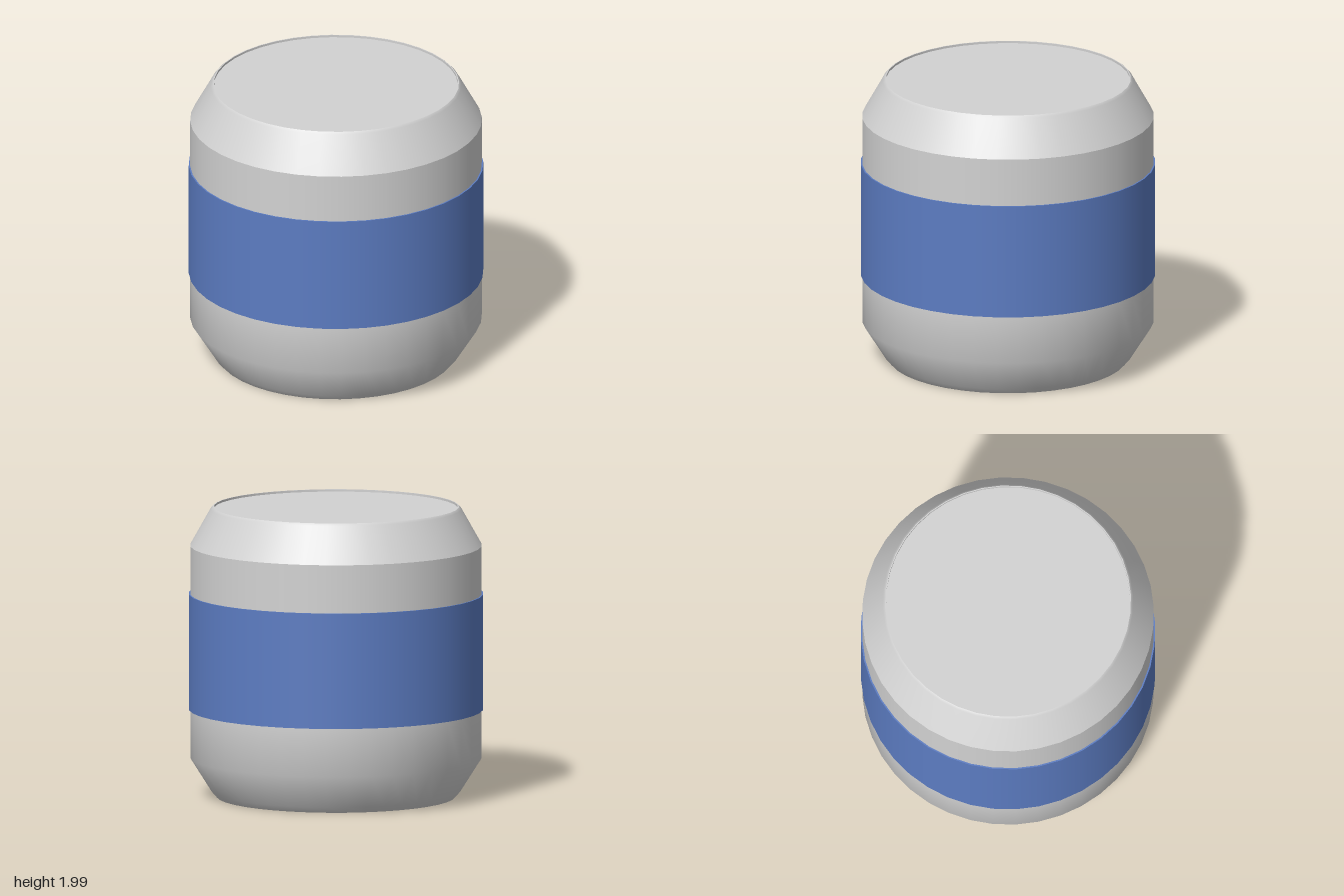
import * as THREE from 'three';

const SIDES = 40;

export function createModel() {
  const model = new THREE.Group();
  const metal = new THREE.MeshStandardMaterial({ color: 0xd2d2d2 });
  metal.name = 'light grey';
  const paint = new THREE.MeshStandardMaterial({ color: 0x5c7cc2 });
  paint.name = 'blue';

  // Revolves a profile of [radius, y] points, smooth within one part
  function turned(name, profile, material) {
    const points = profile.map(([r, y]) => new THREE.Vector2(r, y));
    const mesh = new THREE.Mesh(new THREE.LatheGeometry(points, SIDES), material);
    mesh.name = name;
    model.add(mesh);
  }

  // Can body: wall and tapered base share one smooth surface
  turned('base', [[0, 0], [0.81, 0]], metal);
  turned('wall', [[0.81, 0], [0.845, 0.04], [0.99, 0.27], [0.99, 0.6], [0.99, 1.39], [0.99, 1.72]], metal);

  // Tapered shoulder, rolled rim and slightly sunken lid
  turned('shoulder', [[0.99, 1.72], [0.85, 1.97], [0.835, 1.985]], metal);
  turned('rimTop', [[0.835, 1.985], [0.828, 1.985]], metal);
  turned('rimInside', [[0.828, 1.985], [0.828, 1.97]], metal);
  turned('lid', [[0.828, 1.97], [0, 1.97]], metal);

  // Painted band wrapped around the wall, with its thin edges
  turned('band', [[1, 0.6], [1, 1.39]], paint);
  turned('bandLowerEdge', [[0.988, 0.6], [1, 0.6]], paint);
  turned('bandUpperEdge', [[1, 1.39], [0.988, 1.39]], paint);

  return model;
}
